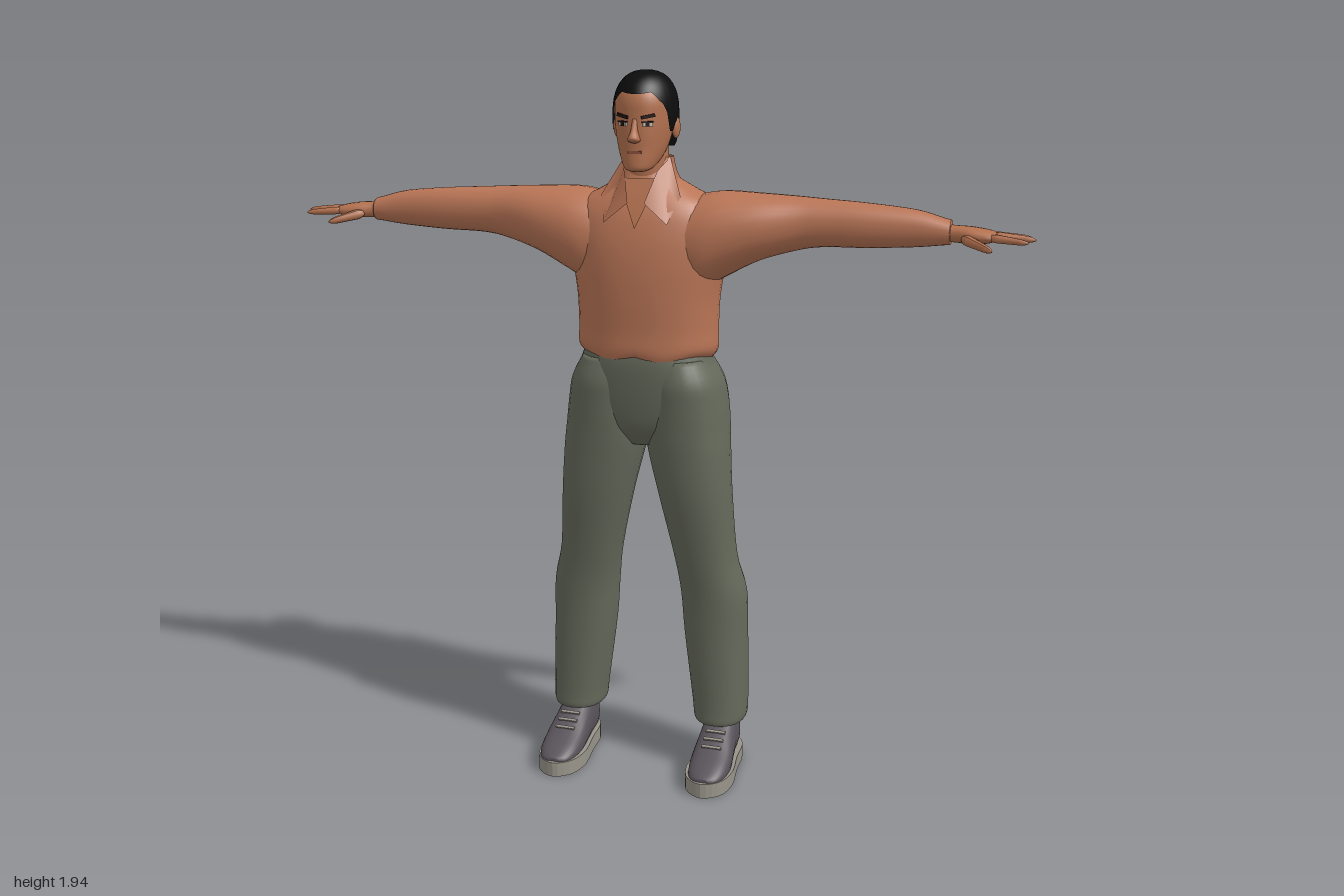
import * as THREE from 'three';

const mat = (name, color, side = THREE.FrontSide) => {
  const m = new THREE.MeshStandardMaterial({ color, side });
  m.name = name;
  return m;
};

// Catmull-Rom smoothing of a list of equal-length rows
function smoothRows(rows, sub) {
  const out = [], at = i => rows[Math.max(0, Math.min(rows.length - 1, i))];
  for (let i = 0; i < rows.length - 1; i++) for (let s = 0; s < sub; s++) {
    const t = s / sub;
    out.push(rows[i].map((p1, k) => {
      const p0 = at(i - 1)[k], p2 = at(i + 1)[k], p3 = at(i + 2)[k];
      return 0.5 * (2 * p1 + (p2 - p0) * t + (2 * p0 - 5 * p1 + 4 * p2 - p3) * t * t
        + (3 * p1 - p0 - 3 * p2 + p3) * t * t * t);
    }));
  }
  out.push(rows[rows.length - 1]);
  return out;
}

// Skin over cross-sections [t, a0, a1, b0, b1]; y: a=x b=z, x: a=y b=z, z: a=x b=y
function loft(axis, rows, { n = 28, sub = 4, power = 2.2, caps = true } = {}) {
  const put = { y: (t, a, b) => [a, t, b], x: (t, a, b) => [t, a, b], z: (t, a, b) => [a, b, t] }[axis];
  const flip = axis !== 'y', pos = [], idx = [];
  const tri = (a, b, c) => idx.push(...(flip ? [a, c, b] : [a, b, c]));
  const R = smoothRows(rows, sub);
  const sp = v => Math.sign(v) * Math.pow(Math.abs(v), 2 / power);
  for (const [t, a0, a1, b0, b1] of R) for (let j = 0; j < n; j++) {
    const w = j / n * Math.PI * 2;
    pos.push(...put(t, (a0 + a1) / 2 + (a1 - a0) / 2 * sp(Math.cos(w)), (b0 + b1) / 2 + (b1 - b0) / 2 * sp(Math.sin(w))));
  }
  for (let i = 0; i < R.length - 1; i++) for (let j = 0; j < n; j++) {
    const k = (j + 1) % n, a = i * n + j, b = i * n + k;
    tri(a, a + n, b); tri(b, a + n, b + n);
  }
  if (caps) for (const i of [0, R.length - 1]) {
    const [t, a0, a1, b0, b1] = R[i], c = pos.length / 3;
    pos.push(...put(t, (a0 + a1) / 2, (b0 + b1) / 2));
    for (let j = 0; j < n; j++) {
      const a = i * n + j, b = i * n + (j + 1) % n;
      i ? tri(a, c, b) : tri(a, b, c);
    }
  }
  return build(pos, idx);
}

function build(pos, idx) {
  const g = new THREE.BufferGeometry();
  g.setAttribute('position', new THREE.Float32BufferAttribute(pos, 3));
  g.setIndex(idx);
  g.computeVertexNormals();
  return g;
}

// Mirror across x, keeping faces outward
function mirror(geo) {
  const g = geo.clone().scale(-1, 1, 1), ix = g.index.array;
  for (let i = 0; i < ix.length; i += 3) [ix[i + 1], ix[i + 2]] = [ix[i + 2], ix[i + 1]];
  g.computeVertexNormals();
  return g;
}

// Tapered rod between two points
function rod(a, b, r0, r1) {
  const A = new THREE.Vector3(...a), B = new THREE.Vector3(...b), d = B.clone().sub(A);
  const g = new THREE.CapsuleGeometry(1, 2, 5, 10), p = g.attributes.position, len = d.length();
  for (let i = 0; i < p.count; i++) {
    const t = (p.getY(i) + 2) / 4, r = r0 + (r1 - r0) * t;
    p.setXYZ(i, p.getX(i) * r, t * len, p.getZ(i) * r);
  }
  g.applyQuaternion(new THREE.Quaternion().setFromUnitVectors(new THREE.Vector3(0, 1, 0), d.normalize()));
  g.translate(...a).computeVertexNormals();
  return g;
}

// Hair cap whose lower edge varies around the head
function hairCap() {
  const n = 48, m = 14, pos = [], idx = [];
  const edge = [[-1, 1.735], [-0.55, 1.74], [-0.25, 1.80], [0.1, 1.815], [0.2, 1.785], [0.42, 1.785],
    [0.52, 1.845], [0.72, 1.865], [0.85, 1.885], [1, 1.88]];
  const low = s => {
    let i = 0;
    while (i < edge.length - 2 && s > edge[i + 1][0]) i++;
    const [s0, y0] = edge[i], [s1, y1] = edge[i + 1];
    return y0 + (y1 - y0) * (s - s0) / (s1 - s0);
  };
  for (let i = 0; i <= m; i++) for (let j = 0; j < n; j++) {
    const w = j / n * Math.PI * 2, f = Math.sin(i / m * Math.PI / 2), y0 = low(Math.sin(w)), y = y0 + (1.936 - y0) * f;
    const u = Math.abs(y - 1.825) / (y > 1.825 ? 0.111 : 0.16);
    const r = Math.pow(Math.max(0, 1 - Math.pow(u, 2.4)), 1 / 2.4);
    pos.push(0.084 * r * Math.cos(w), y, -0.005 + 0.108 * r * Math.sin(w));
  }
  for (let i = 0; i < m; i++) for (let j = 0; j < n; j++) {
    const a = i * n + j, b = i * n + (j + 1) % n;
    idx.push(a, a + n, b, b, a + n, b + n);
  }
  return build(pos, idx);
}

export function createModel() {
  const root = new THREE.Group();
  const skin = mat('skin', 0xb3714f), shirt = mat('shirt', 0xb97556), collarCloth = mat('collar cloth', 0xb37052, THREE.DoubleSide);
  const cloth = mat('trouser cloth', 0x65695a), leather = mat('shoe upper', 0x58535a), rubber = mat('sole', 0x98948a);
  const black = mat('hair', 0x0c0c0d, THREE.DoubleSide), dark = mat('eye dark', 0x20140f), white = mat('eye white', 0xc9bdb2), lip = mat('lip', 0x8d5040);
  const add = (name, geo, m) => {
    const mesh = new THREE.Mesh(geo, m);
    mesh.name = name;
    root.add(mesh);
    return mesh;
  };
  const pair = (name, geo, m) => { add('left ' + name, geo, m); add('right ' + name, mirror(geo), m); };
  const sym = rows => rows.map(([y, w, b, f]) => [y, -w, w, b, f]);

  // Shirt body, with a rippled hem
  const body = loft('y', sym([[1.19, 0.172, -0.155, 0.103], [1.215, 0.19, -0.17, 0.108], [1.27, 0.19, -0.172, 0.108],
    [1.35, 0.193, -0.178, 0.112], [1.43, 0.205, -0.183, 0.112], [1.5, 0.215, -0.182, 0.105], [1.56, 0.215, -0.17, 0.09],
    [1.6, 0.185, -0.152, 0.073], [1.63, 0.13, -0.13, 0.056], [1.66, 0.078, -0.105, 0.04], [1.685, 0.06, -0.09, 0.03]]), { n: 40 });
  const bp = body.attributes.position;
  for (let i = 0; i < bp.count; i++) {
    const k = Math.max(0, (1.26 - bp.getY(i)) / 0.07), w = Math.atan2(bp.getZ(i), bp.getX(i));
    bp.setY(i, bp.getY(i) + k * 0.007 * (Math.sin(w * 5) + Math.sin(w)));
  }
  body.computeVertexNormals();
  add('shirt body', body, shirt);

  // Sleeves
  pair('sleeve', loft('x', [[0.08, 1.4, 1.6, -0.16, 0.07], [0.15, 1.375, 1.622, -0.17, 0.083], [0.21, 1.405, 1.63, -0.165, 0.08],
    [0.3, 1.452, 1.627, -0.145, 0.062], [0.4, 1.483, 1.622, -0.122, 0.03], [0.47, 1.495, 1.618, -0.108, 0.02],
    [0.58, 1.498, 1.612, -0.095, 0.014], [0.7, 1.505, 1.6, -0.086, 0.003], [0.77, 1.513, 1.582, -0.08, -0.002],
    [0.79, 1.515, 1.577, -0.078, -0.004]]), shirt);

  // Collar band, flaps and open neck
  add('collar band', loft('y', sym([[1.63, 0.1, -0.125, 0.05], [1.67, 0.075, -0.105, 0.035], [1.715, 0.063, -0.09, 0.012]]), { caps: false }), collarCloth);
  pair('collar flap', build([0.062, 1.715, -0.02, 0.107, 1.62, 0.042, 0.085, 1.553, 0.094, 0.022, 1.605, 0.088, 0.045, 1.685, 0.042],
    [0, 2, 1, 0, 4, 2, 4, 3, 2]), collarCloth);
  add('open neck', build([0, 1.54, 0.1, 0.026, 1.6, 0.082, 0.05, 1.665, 0.05, -0.05, 1.665, 0.05, -0.026, 1.6, 0.082],
    [0, 1, 4, 1, 2, 3, 1, 3, 4]), skin);

  // Hands
  pair('palm', loft('x', [[0.77, 1.522, 1.568, -0.065, -0.015], [0.8, 1.522, 1.565, -0.067, -0.012], [0.84, 1.52, 1.563, -0.08, 0.002],
    [0.88, 1.523, 1.557, -0.085, 0.004], [0.905, 1.53, 1.55, -0.076, -0.004]], { n: 18 }), skin);
  for (const [name, a, b, r] of [
    ['little finger', [0.875, 1.54, -0.07], [0.95, 1.535, -0.103], 0.010],
    ['ring finger', [0.885, 1.541, -0.054], [0.988, 1.535, -0.075], 0.011],
    ['middle finger', [0.89, 1.542, -0.032], [1.0, 1.536, -0.035], 0.012],
    ['index finger', [0.885, 1.541, -0.01], [0.985, 1.534, 0.012], 0.011],
    ['thumb', [0.82, 1.537, -0.012], [0.9, 1.515, 0.05], 0.014]]) pair(name, rod(a, b, r * 1.1, r * 0.6), skin);

  // Trousers
  add('trouser seat', loft('y', sym([[0.95, 0.06, -0.08, 0.05], [1.0, 0.14, -0.125, 0.082], [1.06, 0.195, -0.142, 0.095],
    [1.13, 0.198, -0.148, 0.103], [1.18, 0.18, -0.145, 0.105], [1.215, 0.168, -0.138, 0.1]]), { n: 36 }), cloth);
  pair('trouser leg', loft('y', [[0.15, 0.16, 0.26, -0.12, 0.015], [0.14, 0.145, 0.275, -0.138, 0.03], [0.15, 0.136, 0.283, -0.143, 0.038],
    [0.2, 0.13, 0.285, -0.142, 0.036], [0.4, 0.104, 0.281, -0.145, 0.037], [0.52, 0.094, 0.277, -0.14, 0.042], [0.63, 0.078, 0.252, -0.118, 0.055],
    [0.8, 0.04, 0.24, -0.11, 0.08], [0.93, 0.008, 0.232, -0.128, 0.09], [1.0, -0.002, 0.226, -0.156, 0.094],
    [1.07, 0, 0.218, -0.168, 0.098], [1.13, 0.005, 0.205, -0.158, 0.1], [1.19, 0.02, 0.172, -0.13, 0.085]]), cloth);

  // Shoes
  pair('shoe upper', loft('z', [[-0.112, 0.185, 0.24, 0.03, 0.1], [-0.095, 0.17, 0.257, 0.02, 0.14], [-0.03, 0.165, 0.263, 0.015, 0.155],
    [0.02, 0.162, 0.268, 0.015, 0.132], [0.08, 0.16, 0.274, 0.015, 0.098], [0.135, 0.165, 0.27, 0.015, 0.075],
    [0.17, 0.18, 0.255, 0.02, 0.058], [0.182, 0.2, 0.235, 0.03, 0.05]], { n: 24, power: 2.5 }), leather);
  for (const s of [-1, 1]) {
    const edge = [[0.215, 0.193], [0.262, 0.165], [0.281, 0.1], [0.272, 0], [0.268, -0.08], [0.25, -0.115], [0.215, -0.122],
      [0.18, -0.115], [0.163, -0.08], [0.158, 0], [0.15, 0.1], [0.17, 0.165]].map(([x, z]) => new THREE.Vector3(s * x, -z, 0));
    const outline = new THREE.CatmullRomCurve3(edge, true).getPoints(40).slice(0, -1).map(p => new THREE.Vector2(p.x, p.y));
    add(s > 0 ? 'left sole' : 'right sole', new THREE.ExtrudeGeometry(new THREE.Shape(outline),
      { depth: 0.042, bevelEnabled: false }).rotateX(-Math.PI / 2), rubber);
    for (let i = 0; i < 3; i++) {
      const lace = add('shoelace', new THREE.BoxGeometry(0.055, 0.006, 0.008), rubber);
      lace.position.set(s * 0.216, 0.125 - i * 0.013, 0.034 + i * 0.023);
      lace.rotation.x = 0.5;
    }
  }

  // Neck and head
  add('neck', loft('y', sym([[1.6, 0.065, -0.09, 0.04], [1.66, 0.056, -0.088, 0.036], [1.72, 0.054, -0.085, 0.04], [1.78, 0.055, -0.08, 0.04]])), skin);
  add('head', loft('y', sym([[1.685, 0.02, 0.045, 0.088], [1.692, 0.035, 0.02, 0.099], [1.71, 0.048, -0.02, 0.1], [1.74, 0.061, -0.055, 0.098],
    [1.78, 0.071, -0.08, 0.098], [1.82, 0.076, -0.092, 0.096], [1.86, 0.075, -0.092, 0.094], [1.89, 0.064, -0.08, 0.08], [1.915, 0.035, -0.04, 0.04]]),
  { n: 36, power: 2.1 }), skin);
  add('hair', hairCap(), black);
  add('nose', loft('y', sym([[1.758, 0.006, 0.09, 0.1], [1.764, 0.016, 0.085, 0.116], [1.772, 0.015, 0.08, 0.123],
    [1.79, 0.009, 0.08, 0.112], [1.818, 0.007, 0.08, 0.098]]), { n: 14 }), skin);
  pair('ear', new THREE.SphereGeometry(1, 14, 10).scale(0.009, 0.028, 0.016).rotateY(-0.3).translate(0.08, 1.792, -0.008), skin);

  // Face details as thin plates
  const plate = (name, w, h, x, y, z, m, roll = 0) => pair(name,
    new THREE.BoxGeometry(w, h, 0.006).rotateZ(roll).rotateY(0.5).translate(x, y, z), m);
  plate('eyebrow', 0.036, 0.008, 0.034, 1.825, 0.089, dark, 0.18);
  plate('eye', 0.026, 0.009, 0.033, 1.805, 0.0895, white);
  plate('iris', 0.01, 0.009, 0.032, 1.805, 0.0915, dark);
  plate('eyelid', 0.03, 0.004, 0.033, 1.811, 0.0915, dark);
  const mouth = add('mouth', new THREE.BoxGeometry(0.036, 0.007, 0.006), lip);
  mouth.position.set(0, 1.735, 0.096);
  return root;
}
